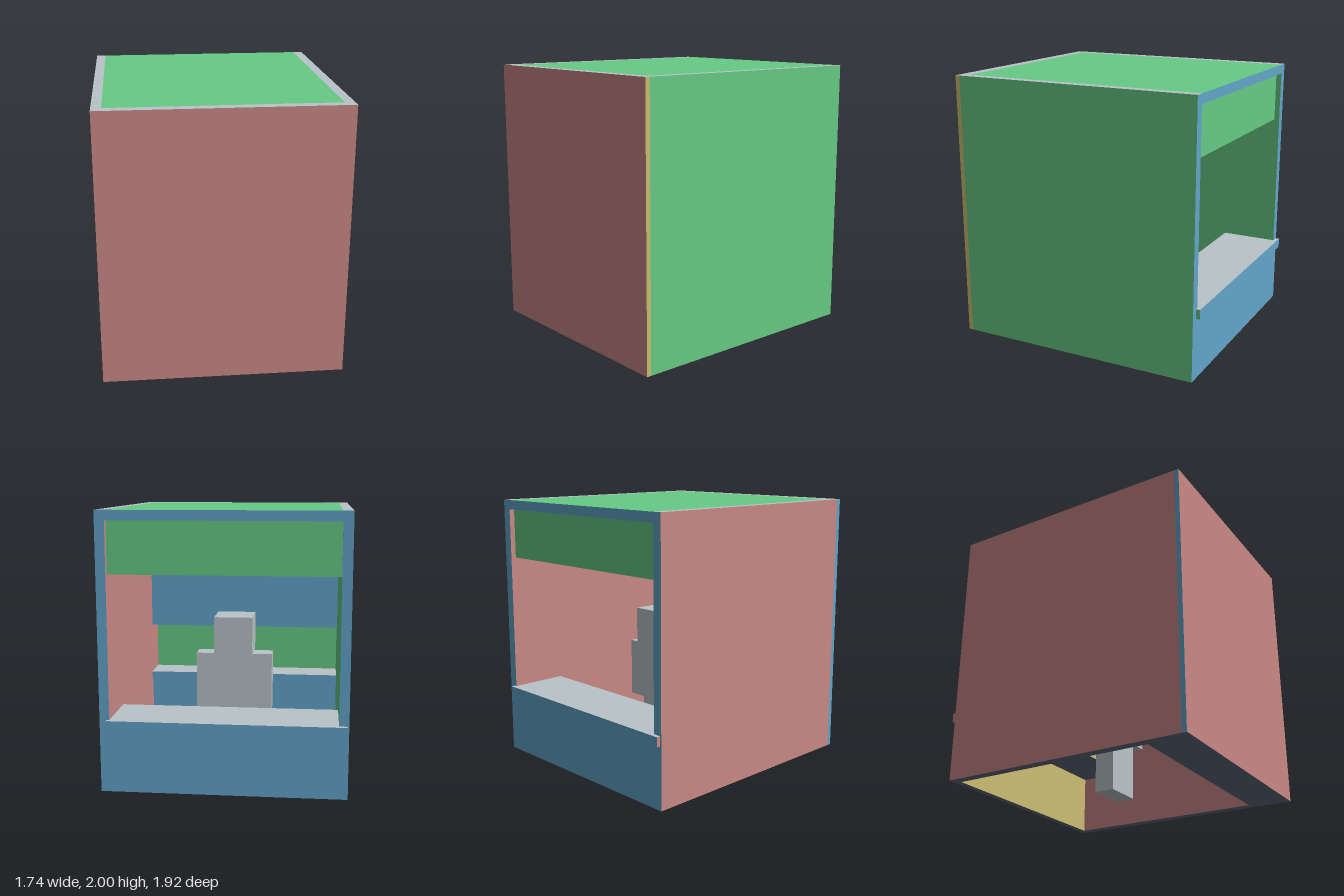
import * as THREE from 'three';

const paint = (name, color) => {
  const m = new THREE.MeshStandardMaterial({ color });
  m.name = name;
  return m;
};

export function createModel() {
  const green = paint('green', 0x66cb86);
  const red = paint('red', 0xc98885);
  const grey = paint('grey', 0xbac4c9);
  const slate = paint('slate', 0x606a7e);
  const yellow = paint('yellow', 0xcbbd70);
  const blue = paint('blue', 0x62a5cb);

  // Face colours in the order +x, -x, +y, -y, +z, -z
  const plain = [green, red, grey, slate, yellow, blue];
  const quarterTurned = [yellow, blue, grey, slate, red, green]; // panels across the room
  const laidFlat = [slate, grey, green, red, yellow, blue]; // roof panel

  const model = new THREE.Group();
  model.name = 'booth';

  // Box from its limits on each axis
  const box = (name, [x0, x1], [y0, y1], [z0, z1], material, parent = model) => {
    const mesh = new THREE.Mesh(new THREE.BoxGeometry(x1 - x0, y1 - y0, z1 - z0), material);
    mesh.position.set((x0 + x1) / 2, (y0 + y1) / 2, (z0 + z1) / 2);
    mesh.name = name;
    parent.add(mesh);
    return mesh;
  };

  const base = 0.015, top = 2, inner = 0.8, outer = 0.87;
  const inside = [-inner, inner];

  // Shell: two side walls, front wall let in between them, roof
  box('leftWall', [inner, outer], [base, top], [-0.93, 0.93], plain);
  box('rightWall', [-outer, -inner], [base, top], [-0.93, 0.93], plain);
  box('frontWall', [-outer, outer], [base, top], [0.93, 0.965], quarterTurned);
  box('frontWallLining', inside, [base, top], [0.89, 0.93], quarterTurned);
  box('roof', inside, [1.93, top], [-0.93, 0.89], laidFlat);

  // Back opening: lower panel, counter and hanging board
  box('backPanel', inside, [base, 0.47], [-0.93, -0.88], plain);
  box('backCounter', [-0.86, 0.82], [0.47, 0.54], [-0.96, -0.5], plain);
  box('hangingBoard', inside, [1.56, 1.93], [-0.89, -0.83], quarterTurned);

  // Cabinets along the inside of the front wall
  box('lowerCabinet', inside, [base, 0.47], [0.65, 0.89], plain);
  box('frontCounter', [-0.82, 0.82], [0.47, 0.54], [0.62, 0.89], plain);
  box('upperCabinet', inside, [0.95, 1.93], [0.65, 0.89], plain);

  // Blocky standing figure
  const figure = new THREE.Group();
  figure.name = 'standingFigure';
  model.add(figure);
  const w = 0.146, depth = [-0.16, -0.01];
  box('head', [-w, w], [0.876, 1.168], [-0.228, 0.064], grey, figure);
  box('torso', [-w, w], [0.438, 0.876], depth, grey, figure);
  for (const [side, s] of [['left', 1], ['right', -1]]) {
    const span = (a, b) => [Math.min(a * s, b * s), Math.max(a * s, b * s)];
    box(side + 'Arm', span(w, 2 * w), [0.438, 0.876], depth, grey, figure);
    box(side + 'Leg', span(0, w), [0, 0.438], depth, grey, figure);
  }
  return model;
}
